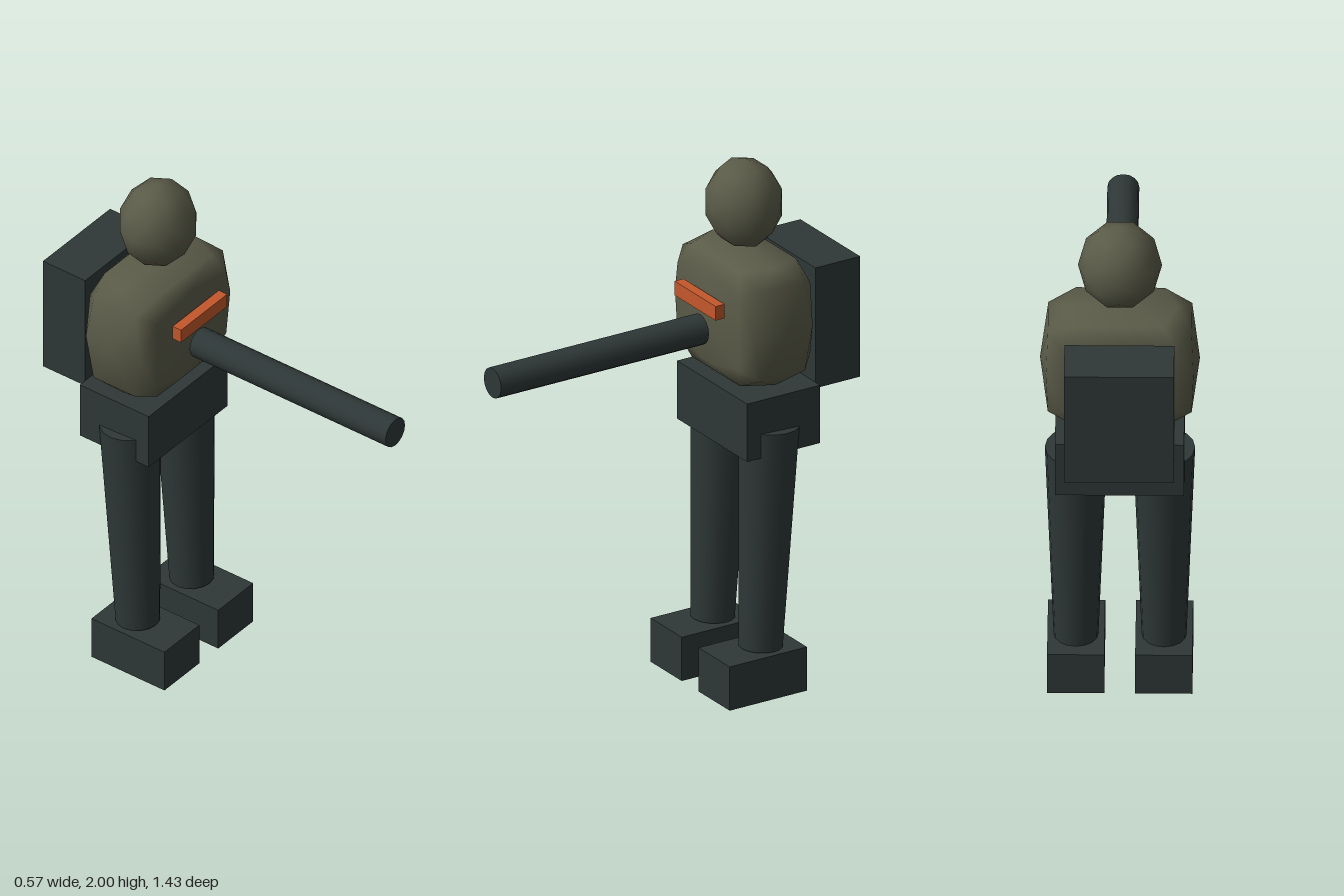
import * as THREE from 'three';
import { mergeVertices } from 'three/addons/utils/BufferGeometryUtils.js';

const slate = new THREE.MeshStandardMaterial({ name: 'dark slate', color: 0x2e3737 });
const olive = new THREE.MeshStandardMaterial({ name: 'olive', color: 0x5a5b48 });
const orange = new THREE.MeshStandardMaterial({ name: 'orange', color: 0xc4582c });

function add(parent, name, geometry, material) {
  const mesh = new THREE.Mesh(geometry, material);
  mesh.name = name;
  parent.add(mesh);
  return mesh;
}

// Box given by its minimum and maximum corners
function box(parent, name, min, max, material) {
  const size = max.map((v, i) => v - min[i]);
  const mesh = add(parent, name, new THREE.BoxGeometry(...size), material);
  mesh.position.set(...max.map((v, i) => (v + min[i]) / 2));
  return mesh;
}

// Round rod between two points
function rod(parent, name, from, to, rFrom, rTo, material) {
  const a = new THREE.Vector3(...from);
  const b = new THREE.Vector3(...to);
  const dir = b.clone().sub(a);
  const mesh = add(parent, name, new THREE.CylinderGeometry(rTo, rFrom, dir.length(), 16), material);
  mesh.position.copy(a).add(b).multiplyScalar(0.5);
  mesh.quaternion.setFromUnitVectors(new THREE.Vector3(0, 1, 0), dir.normalize());
  return mesh;
}

// Faceted ball; a power below 1 swells it towards a rounded box
function blob(radii, power) {
  let geo = new THREE.IcosahedronGeometry(1, 1);
  geo.deleteAttribute('normal');
  geo.deleteAttribute('uv');
  geo = mergeVertices(geo);
  const pos = geo.attributes.position;
  const swell = (v) => Math.sign(v) * Math.abs(v) ** power;
  for (let i = 0; i < pos.count; i++) {
    pos.setXYZ(i, swell(pos.getX(i)) * radii[0], swell(pos.getY(i)) * radii[1], swell(pos.getZ(i)) * radii[2]);
  }
  geo.computeVertexNormals();
  return geo;
}

export function createModel() {
  const model = new THREE.Group();
  model.name = 'armouredFigure';

  // Head and torso
  add(model, 'head', blob([0.15, 0.17, 0.14], 1), olive).position.set(0, 1.83, -0.35);
  add(model, 'torso', blob([0.285, 0.245, 0.168], 0.5), olive).position.set(0, 1.42, -0.35);

  // Hips, pack, chest bar and forward barrel
  box(model, 'hips', [-0.23, 0.935, -0.525], [0.23, 1.16, -0.215], slate);
  box(model, 'backpack', [-0.196, 1.135, -0.717], [0.196, 1.603, -0.527], slate);
  box(model, 'chestBar', [-0.135, 1.467, -0.181], [0.135, 1.522, -0.143], orange);
  rod(model, 'barrel', [0, 1.38, -0.165], [0, 1.38, 0.717], 0.057, 0.057, slate);

  // Tapered legs leaning back at the top, with block feet
  for (const [side, s] of [['left', 1], ['right', -1]]) {
    rod(model, side + 'Leg', [s * 0.157, 0.172, -0.32], [s * 0.157, 1.025, -0.355], 0.08, 0.111, slate);
    const foot = box(model, side + 'Foot', [0.055, 0, -0.45], [0.259, 0.17, -0.122], slate);
    foot.position.x *= s;
  }
  return model;
}
